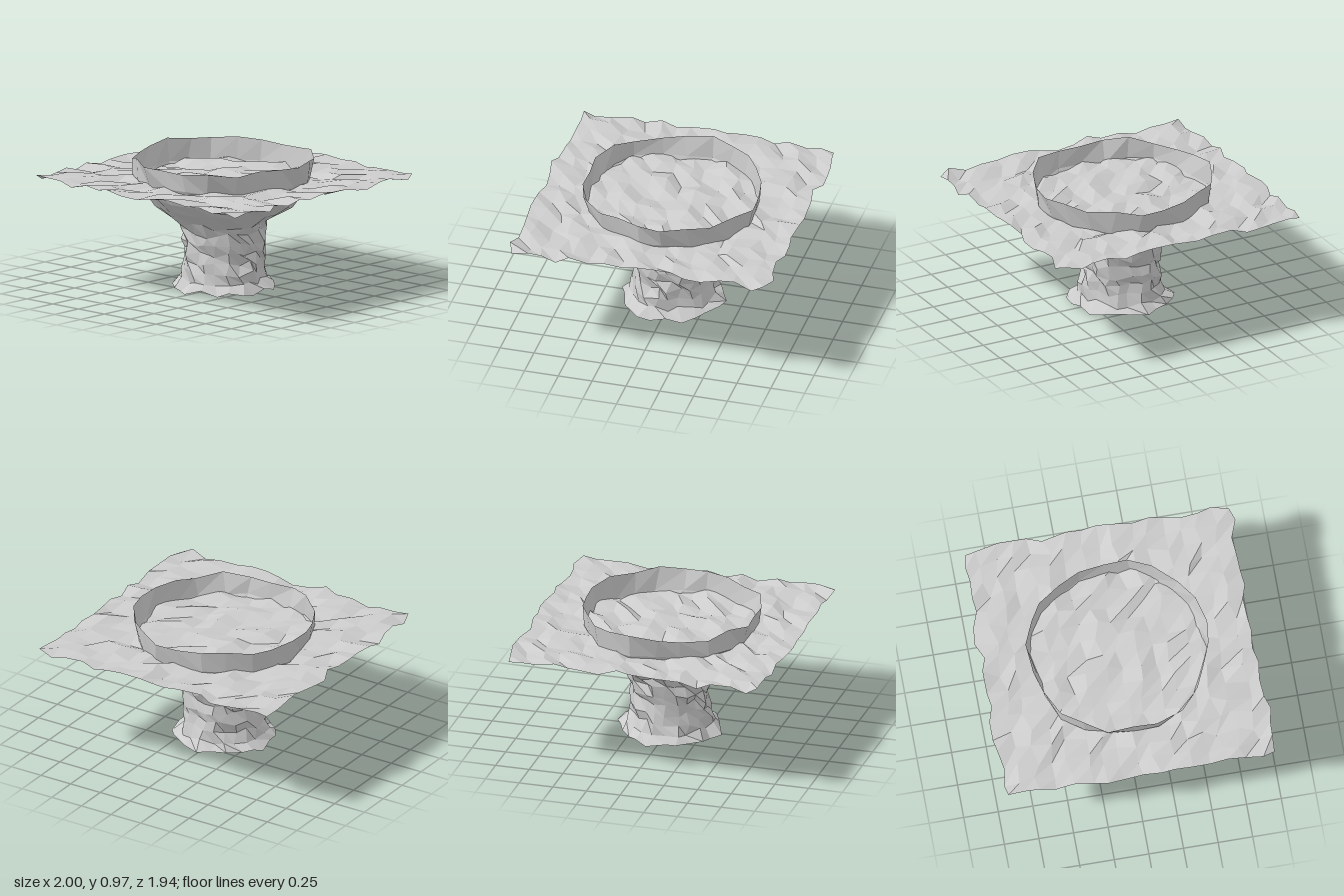
import * as THREE from 'three';

const material = new THREE.MeshStandardMaterial({
  color: 0xcccccc, flatShading: true, side: THREE.DoubleSide,
});

// Repeatable noise in -1..1 from a position, so seam vertices stay together
function noise(x, y, z, seed) {
  const r = (n) => Math.round(n * 1000);
  const s = Math.sin(r(x) * 0.129 + r(y) * 0.782 + r(z) * 0.377 + seed * 17.3) * 43758.5453;
  return (s - Math.floor(s)) * 2 - 1;
}

// Shifts every vertex a little for the rough, hand-hewn surface
function roughen(geometry, dx, dy, dz) {
  const p = geometry.attributes.position;
  for (let i = 0; i < p.count; i++) {
    const x = p.getX(i), y = p.getY(i), z = p.getZ(i);
    p.setXYZ(i,
      x + dx * noise(x, y, z, 1),
      y + dy * noise(x, y, z, 2),
      z + dz * noise(x, y, z, 3));
  }
  geometry.computeVertexNormals();
  return geometry;
}

function addPart(group, name, geometry) {
  const mesh = new THREE.Mesh(geometry, material);
  mesh.name = name;
  group.add(mesh);
}

function lathe(points, segments) {
  return new THREE.LatheGeometry(points.map(([r, y]) => new THREE.Vector2(r, y)), segments);
}

export function createModel() {
  const group = new THREE.Group();
  group.name = 'pedestalBasin';

  // Flared foot, column and bowl as one open shell
  const pedestal = lathe([
    [0.365, 0.03], [0.305, 0.09], [0.29, 0.16], [0.28, 0.23], [0.28, 0.3],
    [0.28, 0.37], [0.285, 0.44], [0.32, 0.51], [0.47, 0.61], [0.56, 0.71],
    [0.625, 0.81],
  ], 22);
  addPart(group, 'pedestal', roughen(pedestal, 0.025, 0.022, 0.025));

  // Upright rim around the basin, sharing the bowl's top edge
  const rim = lathe([[0.625, 0.81], [0.64, 0.965]], 22);
  addPart(group, 'rim', roughen(rim, 0.025, 0.022, 0.025));

  // Thin, uneven square sheet that also fills the basin
  const sheet = new THREE.PlaneGeometry(1.94, 1.9, 16, 16);
  sheet.rotateX(-Math.PI / 2);
  sheet.translate(0, 0.815, 0);
  addPart(group, 'sheet', roughen(sheet, 0.03, 0.025, 0.03));

  return group;
}
